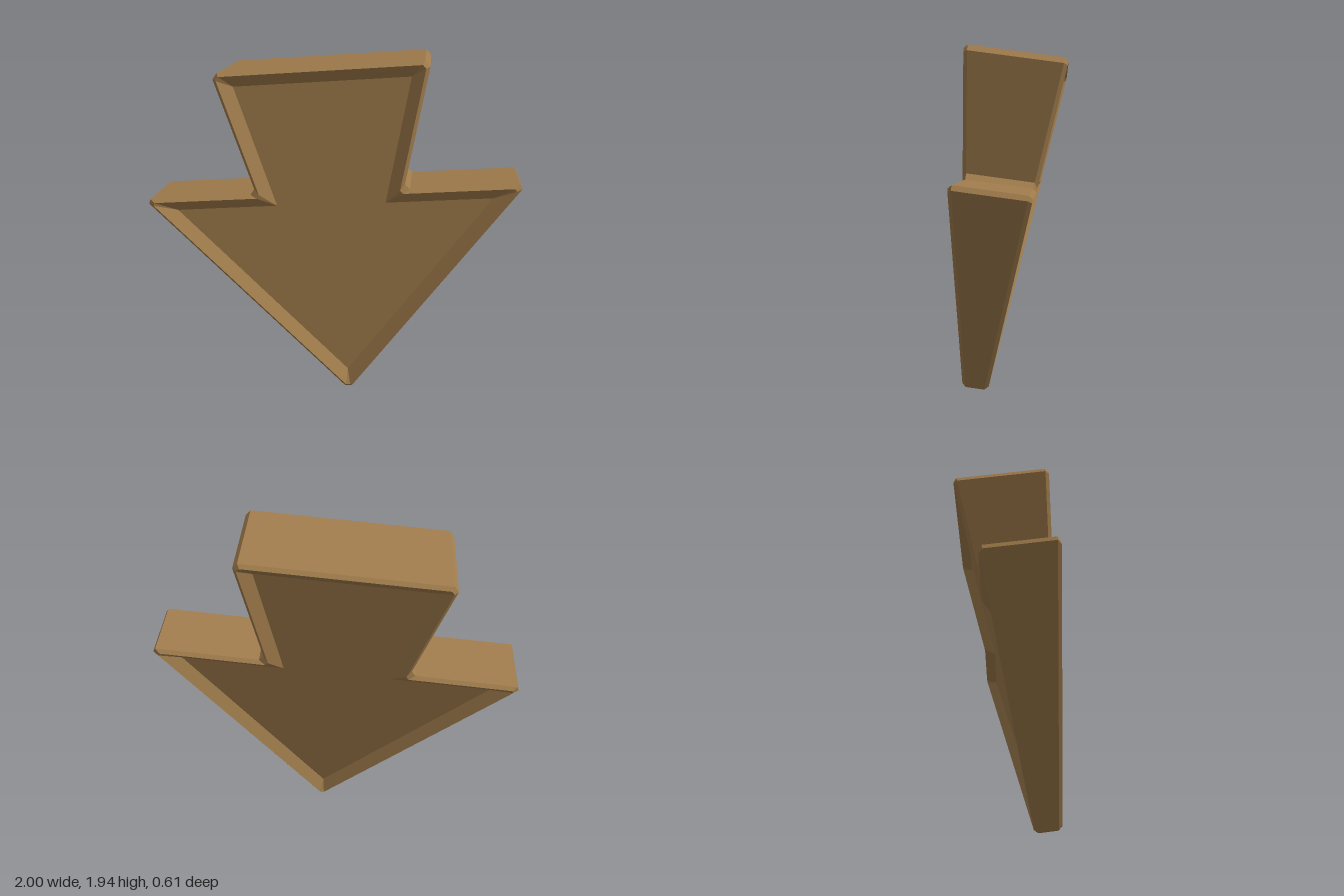
import * as THREE from 'three';

// Sharp arrow outline, anticlockwise seen from the front
const OUTLINE = [
  [-0.615, 1.845], [-0.4, 1.195], [-1.02, 1.135], [0.113, -0.01],
  [1.01, 1.322], [0.385, 1.262], [0.495, 1.945],
].map(([x, y]) => new THREE.Vector2(x, y));

// Direction from front to back, and the tilted front and back planes
const AXIS = new THREE.Vector3(-0.04, -0.13, -1);
const frontZ = (x, y) => 0.291 - 0.045 * x - 0.037 * y;
const backZ = (x, y) => 0.1475 - 0.023 * x - 0.228 * y;

// Move every edge of the outline inwards by d
function inset(points, d) {
  const n = points.length;
  const normal = (a, b) => new THREE.Vector2(a.y - b.y, b.x - a.x).normalize();
  return points.map((p, i) => {
    const n1 = normal(points[(i + n - 1) % n], p);
    const n2 = normal(p, points[(i + 1) % n]);
    const k = d / (1 + n1.dot(n2));
    return n1.add(n2).multiplyScalar(k).add(p);
  });
}

// Replace each corner by two points, c along its edges
function chamfer(points, c) {
  const n = points.length;
  const step = (p, q) => q.clone().sub(p).setLength(c).add(p);
  return points.flatMap((p, i) => [step(p, points[(i + n - 1) % n]), step(p, points[(i + 1) % n])]);
}

// Place an outline point on the front or back, sunk by depth
function place(p, back, depth) {
  const z = frontZ(p.x, p.y);
  const thickness = (z - backZ(p.x, p.y)) / (1 - 0.04 * 0.023 - 0.13 * 0.228);
  const t = back ? thickness - depth : depth;
  return new THREE.Vector3(p.x, p.y, z).addScaledVector(AXIS, t);
}

function ring(d, c, back, depth) {
  return chamfer(inset(OUTLINE, d), c).map((p) => place(p, back, depth));
}

// Band of quads between two closed rings
function band(a, b) {
  const pts = [];
  a.forEach((p, i) => {
    const j = (i + 1) % a.length;
    pts.push(p, b[i], b[j], p, b[j], a[j]);
  });
  return new THREE.BufferGeometry().setFromPoints(pts);
}

// Flat panel at the bottom of a recess
function panel(d, back, depth) {
  const flat = inset(OUTLINE, d);
  const pts = [];
  for (const [a, b, c] of THREE.ShapeUtils.triangulateShape(flat, [])) {
    const tri = back ? [a, c, b] : [a, b, c];
    pts.push(...tri.map((i) => place(flat[i], back, depth)));
  }
  return new THREE.BufferGeometry().setFromPoints(pts);
}

export function createModel() {
  const group = new THREE.Group();
  group.name = 'arrow';
  const wood = new THREE.MeshStandardMaterial({ color: 0xa07c4c, flatShading: true });
  wood.name = 'warm brown';

  const add = (name, geometry) => {
    geometry.computeVertexNormals();
    const mesh = new THREE.Mesh(geometry, wood);
    mesh.name = name;
    group.add(mesh);
  };

  const INSET = 0.079, DEPTH = 0.05;
  const edges = [];
  for (const back of [false, true]) {
    const side = back ? 'back' : 'front';
    const edge = ring(0, 0.032, back, 0.02);
    const ridge = ring(0.018, 0.02, back, 0);
    const floor = ring(INSET, 0, back, DEPTH);
    const join = (a, b) => (back ? band(b, a) : band(a, b));
    add(side + 'Rim', join(ridge, edge));
    add(side + 'RecessWall', join(floor, ridge));
    add(side + 'Panel', panel(INSET, back, DEPTH));
    edges.push(edge);
  }

  // Outer wall joining the two rims
  add('outerWall', band(edges[0], edges[1]));

  // Stand on the ground, centred
  const box = new THREE.Box3().setFromObject(group);
  const mid = box.getCenter(new THREE.Vector3());
  group.children.forEach((m) => m.geometry.translate(-mid.x, -box.min.y, -mid.z));
  return group;
}
